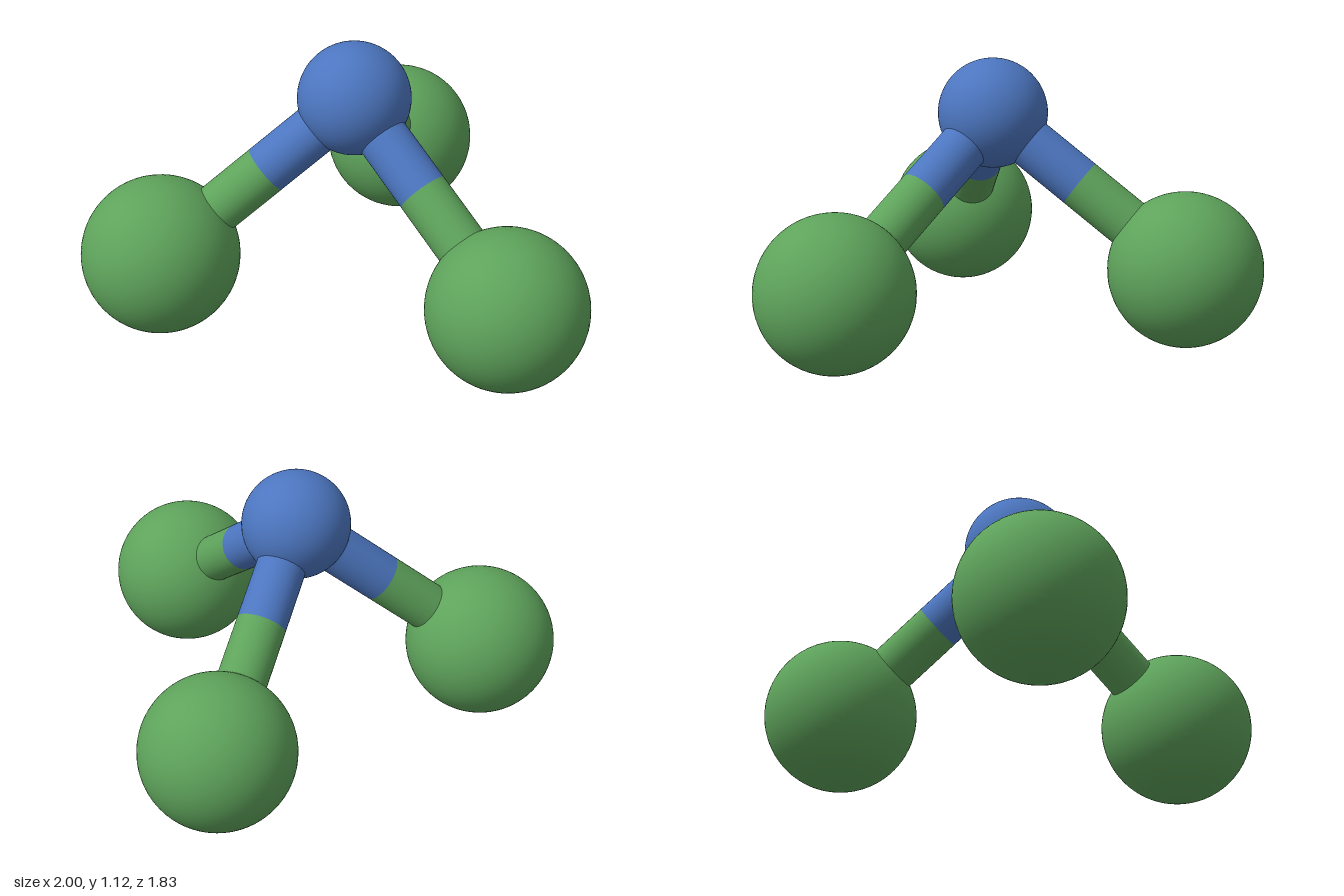
import * as THREE from 'three';

export function createModel() {
  const model = new THREE.Group();
  model.name = 'pyramidalMolecule';

  const blue = new THREE.MeshStandardMaterial({ name: 'blue', color: 0x4c76c0 });
  const green = new THREE.MeshStandardMaterial({ name: 'green', color: 0x5ea35b });

  const apexRadius = 0.22, outerRadius = 0.31, bondRadius = 0.1;
  const up = new THREE.Vector3(0, 1, 0);

  function addAtom(name, position, radius, material, parent) {
    const atom = new THREE.Mesh(new THREE.SphereGeometry(radius, 64, 40), material);
    atom.name = name;
    atom.position.copy(position);
    parent.add(atom);
  }

  // Cylinder spanning two points
  function addRod(name, from, to, material, parent) {
    const length = from.distanceTo(to);
    const rod = new THREE.Mesh(new THREE.CylinderGeometry(bondRadius, bondRadius, length, 40, 1, true), material);
    rod.name = name;
    rod.position.lerpVectors(from, to, 0.5);
    rod.quaternion.setFromUnitVectors(up, to.clone().sub(from).normalize());
    parent.add(rod);
  }

  // Central atom at the top
  const apex = new THREE.Vector3(0, 0.9, 0.19);
  addAtom('centralAtom', apex, apexRadius, blue, model);

  // Three outer atoms, each on a two-coloured bond
  const arms = [
    ['left', 0.69, 0.605],
    ['right', -0.69, 0.55],
    ['back', 0, -0.605],
  ];
  for (const [side, x, z] of arms) {
    const arm = new THREE.Group();
    arm.name = side + 'Arm';
    const end = new THREE.Vector3(x, outerRadius, z);
    const axis = end.clone().sub(apex);
    const length = axis.length();
    axis.normalize();
    const along = (d) => apex.clone().addScaledVector(axis, d);

    // The colour changes midway along the exposed bond
    const split = (apexRadius + length - outerRadius) / 2;
    addRod(side + 'InnerBond', along(apexRadius * 0.7), along(split), blue, arm);
    addRod(side + 'OuterBond', along(split), along(length - outerRadius * 0.8), green, arm);
    addAtom(side + 'OuterAtom', end, outerRadius, green, arm);
    model.add(arm);
  }
  return model;
}
